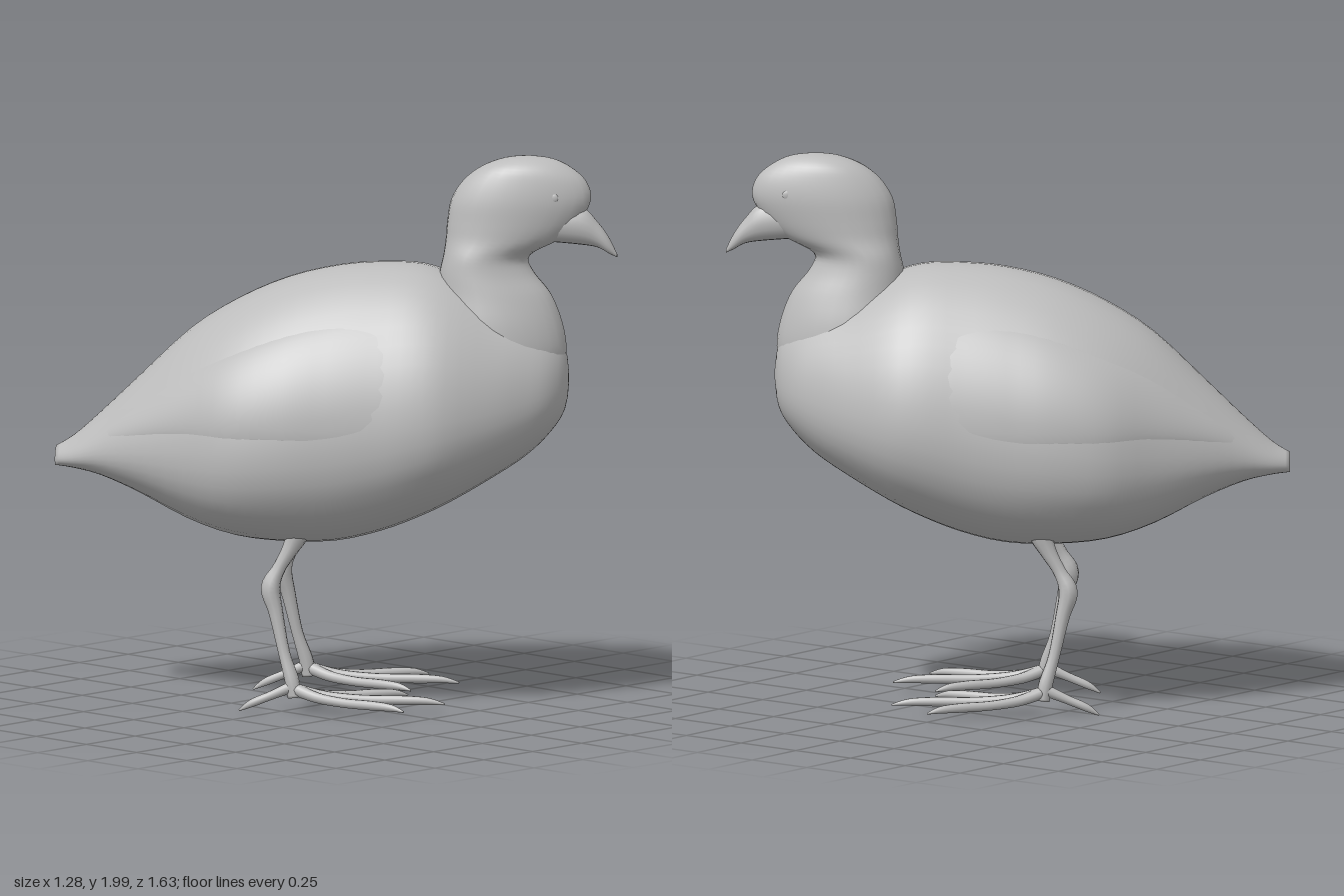
import * as THREE from 'three';
import { ParametricGeometry } from 'three/addons/geometries/ParametricGeometry.js';

const V = (x, y, z) => new THREE.Vector3(x, y, z);

// Catmull-Rom sample of a table of rows at t in 0..1
function sampleRows(rows, t) {
  const f = Math.min(Math.max(t, 0), 1) * (rows.length - 1);
  const i = Math.min(Math.floor(f), rows.length - 2), k = f - i;
  const at = (j) => rows[Math.min(Math.max(j, 0), rows.length - 1)];
  const [a, b, c, d] = [at(i - 1), at(i), at(i + 1), at(i + 2)];
  return b.map((_, n) => 0.5 * (2 * b[n] + (c[n] - a[n]) * k
    + (2 * a[n] - 5 * b[n] + 4 * c[n] - d[n]) * k * k
    + (3 * b[n] - a[n] - 3 * c[n] + d[n]) * k * k * k));
}

// Closed skin over rings of points, capped at both ends, facing outward
function loft(rings) {
  const n = rings[0].length, pos = [], idx = [];
  const centre = (r) => r.reduce((s, p) => s.add(p), V(0, 0, 0)).divideScalar(n);
  rings.forEach((r) => r.forEach((p) => pos.push(p.x, p.y, p.z)));
  const last = (rings.length - 1) * n, c0 = rings.length * n;
  [rings[0], rings[rings.length - 1]].forEach((r) => pos.push(...centre(r).toArray()));
  for (let j = 0; j < n; j++) {
    const k = (j + 1) % n;
    for (let i = 0; i < last; i += n) idx.push(i + j, i + k, i + n + j, i + k, i + n + k, i + n + j);
    idx.push(c0, k, j, c0 + 1, last + j, last + k);
  }
  const p = (i) => V(pos[3 * i], pos[3 * i + 1], pos[3 * i + 2]);
  let volume = 0;
  for (let i = 0; i < idx.length; i += 3) volume += p(idx[i]).dot(p(idx[i + 1]).cross(p(idx[i + 2])));
  if (volume < 0) idx.reverse();
  const g = new THREE.BufferGeometry();
  g.setAttribute('position', new THREE.Float32BufferAttribute(pos, 3));
  g.setIndex(idx);
  g.computeVertexNormals();
  return g;
}

// Round limb through points [x, y, z, radius]
function limb(rows, steps = 20, sides = 10) {
  const rings = [];
  for (let i = 0; i <= steps; i++) {
    const t = i / steps, [x, y, z, r] = sampleRows(rows, t);
    const a = sampleRows(rows, t - 0.02), b = sampleRows(rows, t + 0.02);
    const dir = V(b[0] - a[0], b[1] - a[1], b[2] - a[2]).normalize();
    const q = new THREE.Quaternion().setFromUnitVectors(V(0, 0, 1), dir);
    rings.push(Array.from({ length: sides }, (_, j) => {
      const w = (j / sides) * Math.PI * 2;
      return V(Math.cos(w) * r, Math.sin(w) * r, 0).applyQuaternion(q).add(V(x, y, z));
    }));
  }
  return loft(rings);
}

// Body stations: z, top, bottom, half width
const BODY = [
  [-0.985, 0.92, 0.85, 0.055], [-0.92, 0.96, 0.843, 0.1], [-0.82, 1.05, 0.82, 0.155],
  [-0.68, 1.185, 0.762, 0.235], [-0.5, 1.355, 0.67, 0.325], [-0.33, 1.465, 0.615, 0.405],
  [-0.15, 1.545, 0.597, 0.432], [0.03, 1.59, 0.602, 0.427], [0.19, 1.605, 0.64, 0.418],
  [0.33, 1.6, 0.695, 0.412], [0.45, 1.56, 0.755, 0.385], [0.6, 1.48, 0.845, 0.3],
  [0.71, 1.43, 0.92, 0.222], [0.79, 1.375, 1.0, 0.155], [0.84, 1.31, 1.08, 0.08], [0.855, 1.22, 1.18, 0.015],
];
// Egg-shaped section, narrow along the back and full at the belly
function bodyPoint(t, angle, offset = 0) {
  const [z, top, bottom, w] = sampleRows(BODY, t);
  const c = Math.cos(angle), s = Math.sin(angle);
  const pow = (v) => Math.sign(v) * Math.abs(v) ** 0.95;
  return V((w + offset) * pow(c) * (1 - 0.22 * s),
    (top + bottom) / 2 + ((top - bottom) / 2 + offset) * pow(s), z);
}

// Neck and head levels: y, centre z, half depth, half width
const HEAD = [
  [1.2, 0.58, 0.25, 0.17], [1.3, 0.61, 0.238, 0.175], [1.4, 0.607, 0.226, 0.168], [1.5, 0.59, 0.203, 0.148],
  [1.58, 0.562, 0.168, 0.134], [1.64, 0.562, 0.155, 0.126], [1.7, 0.62, 0.205, 0.116], [1.76, 0.655, 0.235, 0.113],
  [1.84, 0.685, 0.25, 0.11], [1.91, 0.7, 0.22, 0.098], [1.96, 0.705, 0.16, 0.08],
  [1.99, 0.712, 0.088, 0.045], [2, 0.715, 0.01, 0.008],
];

// Beak stations: z, y, half width, half height
const BEAK = [
  [0.78, 1.76, 0.06, 0.07], [0.9, 1.75, 0.049, 0.069], [0.96, 1.718, 0.034, 0.046],
  [1.0, 1.68, 0.022, 0.029], [1.03, 1.643, 0.004, 0.006],
];

export function createModel() {
  const model = new THREE.Group();
  model.name = 'bird';
  const grey = new THREE.MeshStandardMaterial({ color: 0xbcbcbc, side: THREE.DoubleSide });
  grey.name = 'plain grey';
  const bird = new THREE.Group();
  bird.name = 'turnedBird';
  bird.rotation.y = THREE.MathUtils.degToRad(38);
  model.add(bird);
  const trunk = new THREE.Group();
  trunk.name = 'trunk';
  trunk.position.x = 0.009;
  bird.add(trunk);
  const add = (name, geometry, parent = bird) => {
    const m = new THREE.Mesh(geometry, grey);
    m.name = name;
    parent.add(m);
    return m;
  };
  // Rings from a table, with a rule turning (row, angle) into a point
  const skin = (rows, steps, sides, rule) => loft(Array.from({ length: steps + 1 }, (_, i) => {
    const row = sampleRows(rows, i / steps);
    return Array.from({ length: sides }, (_, j) => rule(row, (j / sides) * Math.PI * 2));
  }));

  // Body with breast and tail
  add('body', loft(Array.from({ length: 46 }, (_, i) =>
    Array.from({ length: 40 }, (_, j) => bodyPoint(i / 45, (j / 40) * Math.PI * 2)))), trunk);

  // Neck and head, narrower towards the face
  add('neckAndHead', skin(HEAD, 48, 28, ([y, z, a, b], w) =>
    V(b * Math.sin(w) * (1 - 0.2 * Math.cos(w)), y, z + a * Math.cos(w))));

  // Drooping beak
  add('beak', skin(BEAK, 16, 16, ([z, y, a, b], w) => V(a * Math.cos(w), y + b * Math.sin(w), z)));

  for (const s of [1, -1]) {
    const side = s > 0 ? 'left' : 'right';

    // Small eye, nearly flush
    const eye = add(side + 'Eye', new THREE.SphereGeometry(0.017, 14, 10));
    eye.scale.x = 0.4;
    eye.position.set(s * 0.079, 1.86, 0.81);

    // Folded wing lying on the flank, tapering to the rear
    add(side + 'Wing', new ParametricGeometry((p, q, out) => {
      const low = THREE.MathUtils.lerp(-0.3, 0.1, p), high = THREE.MathUtils.lerp(0.8, 0.6, p);
      const lift = Math.sqrt(Math.max(0, Math.sin(Math.PI * p) * Math.sin(Math.PI * q)));
      const pt = bodyPoint(0.58 - 0.46 * p, THREE.MathUtils.lerp(low, high, q), -0.012 + 0.026 * lift);
      out.set(s * pt.x, pt.y, pt.z);
    }, 24, 14), trunk);

    // Leg with a knobbly joint
    const leg = new THREE.Group();
    leg.name = side + 'Leg';
    leg.position.x = 0.02;
    bird.add(leg);
    add('shank', limb([
      [s * 0.17, 0.78, -0.07, 0.06], [s * 0.18, 0.66, -0.095, 0.045], [s * 0.188, 0.59, -0.125, 0.03],
      [s * 0.195, 0.52, -0.165, 0.024], [s * 0.2, 0.45, -0.195, 0.035], [s * 0.208, 0.36, -0.175, 0.026],
      [s * 0.22, 0.22, -0.145, 0.021], [s * 0.232, 0.12, -0.115, 0.026], [s * 0.235, 0.06, -0.105, 0.025],
    ], 36), leg);

    // Three front toes and one hind toe: turn, length
    for (const [name, turn, length] of [['middleToe', 0, 0.54], ['outerToe', 24, 0.45], ['innerToe', -26, 0.43]]) {
      const a = THREE.MathUtils.degToRad(turn) * s;
      const at = (k, y, r) => [s * 0.235 + Math.sin(a) * length * k, y, -0.105 + Math.cos(a) * length * k, r];
      add(name, limb([at(0, 0.09, 0.022), at(0.2, 0.066, 0.019), at(0.45, 0.056, 0.017),
        at(0.7, 0.056, 0.017), at(0.88, 0.054, 0.013), at(1, 0.044, 0.003)]), leg);
    }
    add('hindToe', limb([[s * 0.235, 0.1, -0.11, 0.022], [s * 0.234, 0.065, -0.19, 0.016],
      [s * 0.232, 0.035, -0.26, 0.014], [s * 0.23, 0.008, -0.305, 0.003]]), leg);
  }
  return model;
}
